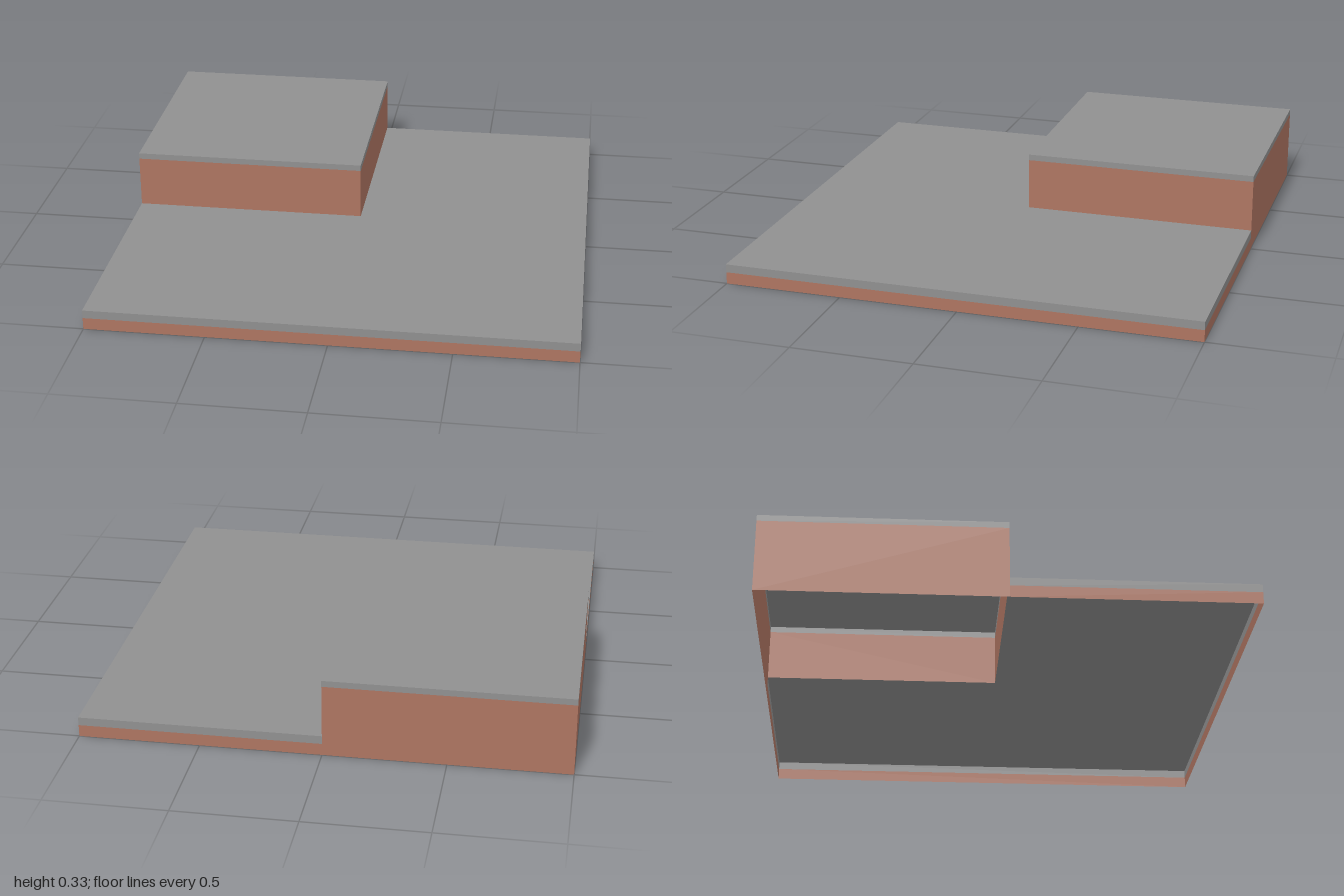
import * as THREE from 'three';

const BASE_TOP = 0.085, BASE_SEAM = 0.05;
const BLOCK_TOP = 0.333, BLOCK_SEAM = 0.307;

export function createModel() {
  const model = new THREE.Group();
  const clay = new THREE.MeshStandardMaterial({ color: 0xae7561, side: THREE.DoubleSide });
  clay.name = 'clay brown';
  const stone = new THREE.MeshStandardMaterial({ color: 0x909090, side: THREE.DoubleSide });
  stone.name = 'stone grey';

  // Upright panel between two ground points, facing right of the walking direction
  function panel(parent, name, [x1, z1, x2, z2], y0, y1, material) {
    const dx = x2 - x1, dz = z2 - z1;
    const mesh = new THREE.Mesh(new THREE.PlaneGeometry(Math.hypot(dx, dz), y1 - y0), material);
    mesh.position.set((x1 + x2) / 2, (y0 + y1) / 2, (z1 + z2) / 2);
    mesh.rotation.y = Math.atan2(-dz, dx);
    mesh.name = name;
    parent.add(mesh);
  }

  // Brown wall with a grey band along its upper edge
  function wall(parent, name, line, bottom, seam, top) {
    panel(parent, name + 'Wall', line, bottom, seam, clay);
    panel(parent, name + 'Band', line, seam, top, stone);
  }

  // Flat upward-facing surface from [x, z] corners
  function deck(parent, name, corners, y) {
    const shape = new THREE.Shape(corners.map(([x, z]) => new THREE.Vector2(x, -z)));
    const mesh = new THREE.Mesh(new THREE.ShapeGeometry(shape), stone);
    mesh.rotation.x = -Math.PI / 2;
    mesh.position.y = y;
    mesh.name = name;
    parent.add(mesh);
  }

  // Low base: L-shaped deck, open underneath
  const base = new THREE.Group();
  base.name = 'base';
  deck(base, 'baseDeck', [[-1, 1], [1, 1], [1, -1], [0, -1], [0, 0], [-1, 0]], BASE_TOP);
  const baseLines = { front: [-1, 1, 1, 1], right: [1, 1, 1, -1], back: [1, -1, 0, -1], left: [-1, 0, -1, 1] };
  for (const [side, line] of Object.entries(baseLines)) {
    wall(base, side + 'Base', line, 0, BASE_SEAM, BASE_TOP);
  }

  // Raised corner block: outer walls reach the ground, inner ones meet the deck
  const block = new THREE.Group();
  block.name = 'raisedCorner';
  deck(block, 'blockDeck', [[-1, 0], [0, 0], [0, -1], [-1, -1]], BLOCK_TOP);
  wall(block, 'backBlock', [0, -1, -1, -1], 0, BLOCK_SEAM, BLOCK_TOP);
  wall(block, 'leftBlock', [-1, -1, -1, 0], 0, BLOCK_SEAM, BLOCK_TOP);
  wall(block, 'frontBlock', [-1, 0, 0, 0], BASE_TOP, BLOCK_SEAM, BLOCK_TOP);
  wall(block, 'rightBlock', [0, 0, 0, -1], BASE_TOP, BLOCK_SEAM, BLOCK_TOP);

  model.add(base, block);
  return model;
}
